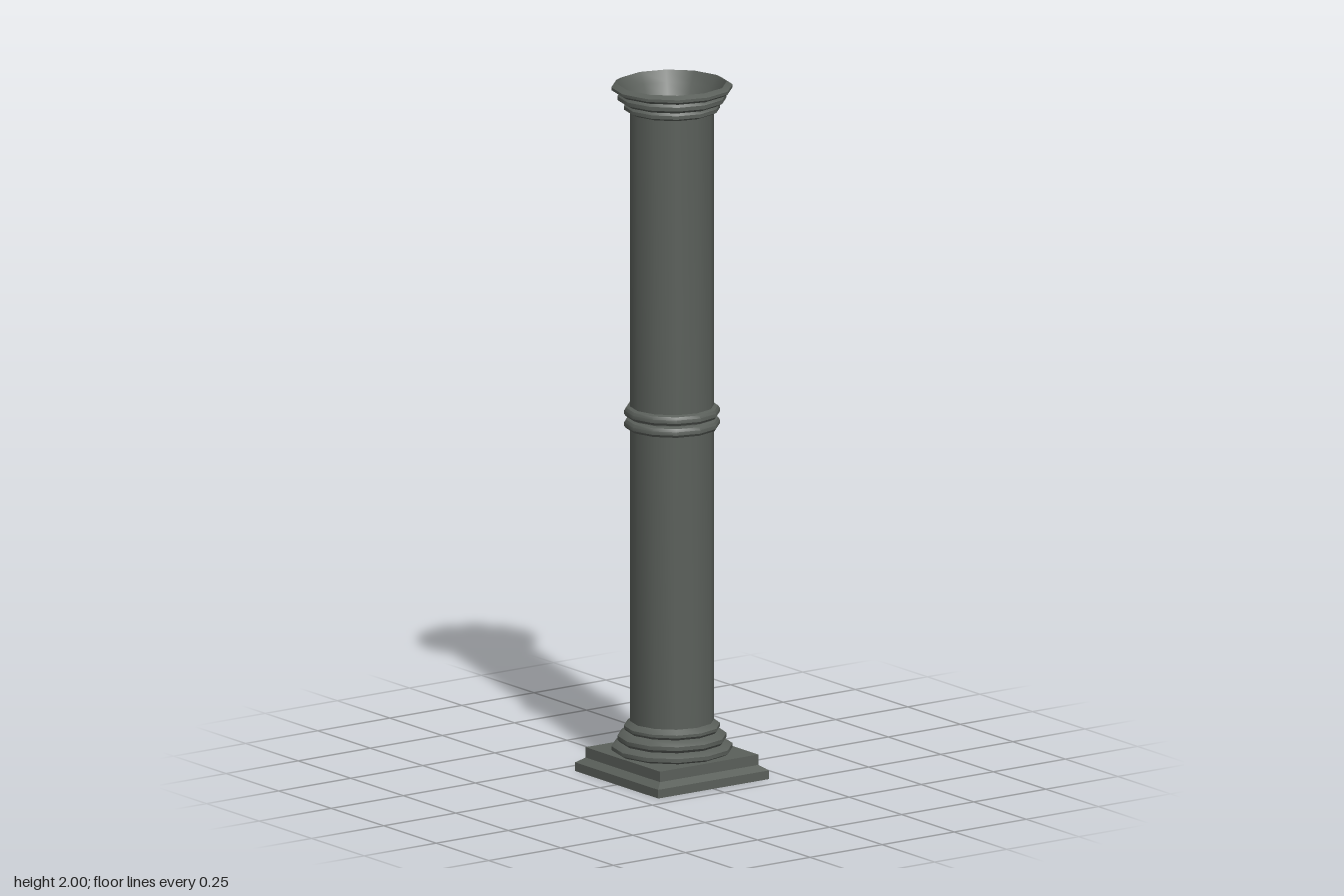
import * as THREE from 'three';
import { toCreasedNormals } from 'three/addons/utils/BufferGeometryUtils.js';

const stone = new THREE.MeshStandardMaterial({ color: 0x5a5f5a });
stone.name = 'dark stone';

function add(group, name, geometry) {
  const mesh = new THREE.Mesh(geometry, stone);
  mesh.name = name;
  group.add(mesh);
}

// Twelve-sided turned part; profile points are [radius, height], listed upwards
function turned(profile) {
  const points = profile.map(([r, y]) => new THREE.Vector2(r, y));
  return toCreasedNormals(new THREE.LatheGeometry(points, 12), 0.56);
}

// Rectangular slab whose top may be smaller than its bottom
function slab(y0, y1, bottom, top) {
  const geometry = new THREE.BoxGeometry(1, 1, 1);
  const p = geometry.attributes.position;
  for (let i = 0; i < p.count; i++) {
    const up = p.getY(i) > 0;
    const [w, d] = up ? top : bottom;
    p.setXYZ(i, p.getX(i) * w, up ? y1 : y0, p.getZ(i) * d);
  }
  geometry.computeVertexNormals();
  return geometry;
}

export function createModel() {
  const column = new THREE.Group();
  column.name = 'column';

  // Square plinth with a sloped shoulder
  const wide = [0.396, 0.384], narrow = [0.354, 0.341];
  add(column, 'plinthFoot', slab(0, 0.025, wide, wide));
  add(column, 'plinthShoulder', slab(0.025, 0.04, wide, narrow));
  add(column, 'plinthBlock', slab(0.04, 0.07, narrow, narrow));

  // Stepped base mouldings
  add(column, 'baseMoulding', turned([
    [0.158, 0.07], [0.171, 0.077], [0.171, 0.088], [0.158, 0.096],
    [0.147, 0.099], [0.154, 0.107], [0.154, 0.118], [0.138, 0.13],
    [0.13, 0.132], [0.136, 0.139], [0.136, 0.147], [0.119, 0.16],
  ]));

  add(column, 'shaft', turned([[0.119, 0.1], [0.119, 1.93]]));

  // Pair of bands around the middle of the shaft
  for (const [name, y] of [['lowerBand', 1.003], ['upperBand', 1.037]]) {
    add(column, name, turned([
      [0.118, y], [0.13, y + 0.003], [0.135, y + 0.01],
      [0.135, y + 0.02], [0.13, y + 0.028], [0.118, y + 0.032],
    ]));
  }

  // Flared capital, hollow from above
  add(column, 'capital', turned([
    [0.119, 1.918], [0.136, 1.926], [0.136, 1.936], [0.13, 1.943],
    [0.138, 1.945], [0.154, 1.954], [0.154, 1.965], [0.147, 1.973],
    [0.158, 1.975], [0.171, 1.983], [0.171, 1.991], [0.154, 2],
    [0.136, 1.968], [0.121, 1.935], [0.118, 1.93], [0, 1.93],
  ]));

  return column;
}
